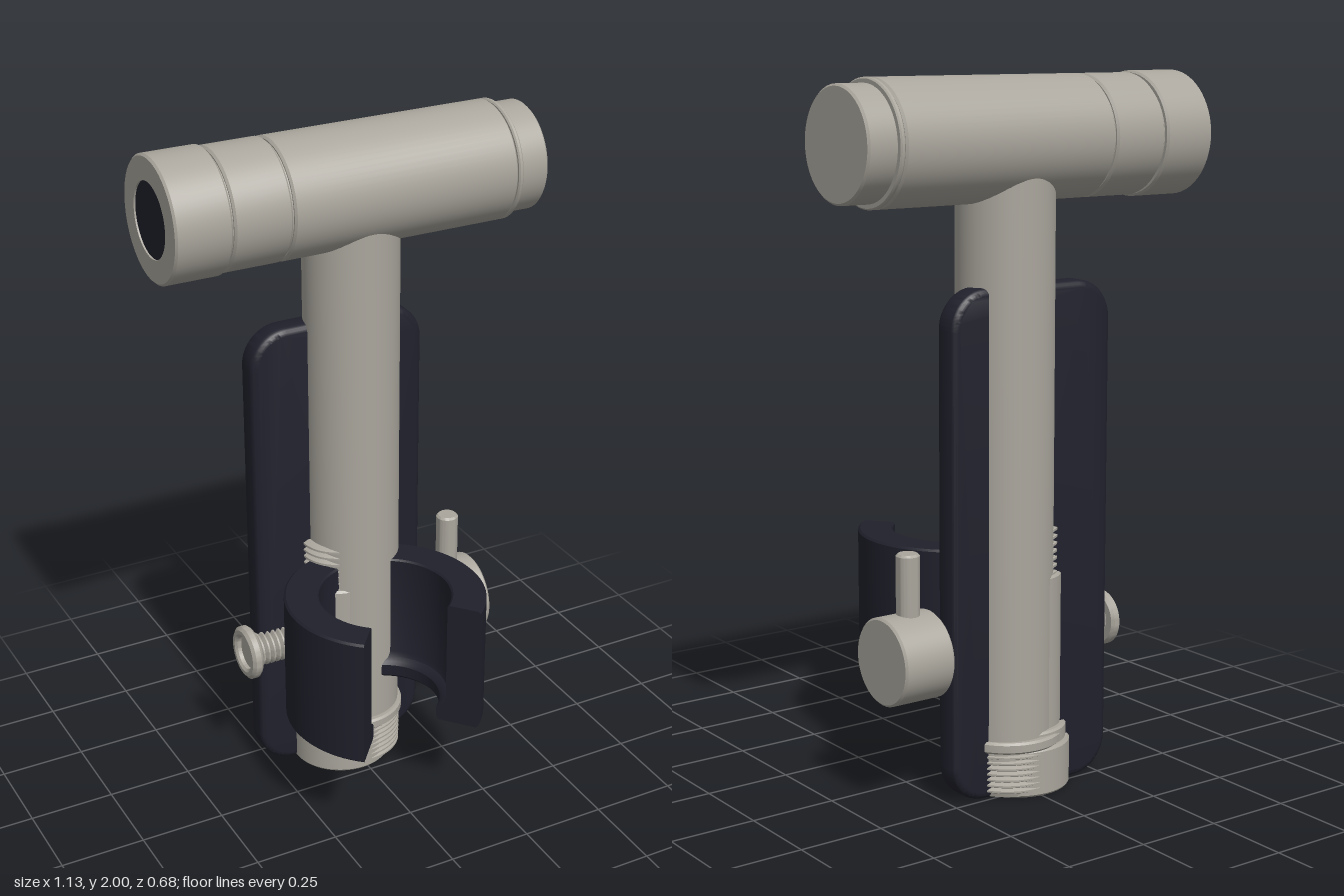
import * as THREE from 'three';
import { toCreasedNormals } from 'three/addons/utils/BufferGeometryUtils.js';

const AXIS_Z = -0.165;

export function createModel() {
  const model = new THREE.Group();
  model.name = 'handSprayerWithHolder';
  const metal = new THREE.MeshStandardMaterial({ color: 0xaaa69d });
  metal.name = 'brushedMetal';
  const dark = new THREE.MeshStandardMaterial({ color: 0x20202c, side: THREE.DoubleSide });
  dark.name = 'darkPlastic';

  function add(name, geometry, material, x = 0, y = 0, z = 0, parent = model) {
    const mesh = new THREE.Mesh(geometry, material);
    mesh.name = name;
    mesh.position.set(x, y, z);
    parent.add(mesh);
    return mesh;
  }
  // Lathe from [radius, height] pairs, keeping sharp edges
  function turned(profile, start = 0, length = Math.PI * 2, segments = 64) {
    const pts = profile.map(([r, h]) => new THREE.Vector2(r, h));
    return toCreasedNormals(new THREE.LatheGeometry(pts, segments, start, length), 0.5);
  }
  // Solid cylinder profile with small chamfers
  function rod(r, a, b, c = 0.006) {
    return [[0, a], [r - c, a], [r, a + c], [r, b - c], [r - c, b], [0, b]];
  }
  // Zigzag screw ridges between two heights
  function ridges(r, a, b, count, depth) {
    const out = [];
    const step = (b - a) / count;
    for (let i = 0; i < count; i++) {
      out.push([r - depth, a + i * step], [r, a + (i + 0.35) * step], [r, a + (i + 0.65) * step]);
    }
    out.push([r - depth, b]);
    return out;
  }

  // Spray head, lying along x
  const head = new THREE.Group();
  head.name = 'sprayHead';
  head.position.set(0, 1.825, AXIS_Z);
  head.rotation.z = -Math.PI / 2;
  model.add(head);
  const headParts = [
    ['middleCollar', rod(0.17, -0.397, -0.229)],
    ['headBody', rod(0.17, -0.224, 0.458)],
    ['headRing', rod(0.17, 0.46, 0.475, 0.004)],
    ['endCap', rod(0.155, 0.47, 0.563)],
    ['headCore', rod(0.16, -0.45, 0.465)],
  ];
  for (const [name, profile] of headParts) add(name, turned(profile), metal, 0, 0, 0, head);
  add('nozzleCollar', turned([[0.105, -0.54], [0.105, -0.565], [0.169, -0.565],
    [0.175, -0.559], [0.175, -0.409], [0.169, -0.403], [0, -0.403]]), metal, 0, 0, 0, head);
  add('nozzleFace', turned(rod(0.106, -0.56, -0.552, 0.001)), dark, 0, 0, 0, head);

  // Grip tube and its threaded foot
  add('gripTube', turned(rod(0.1375, 0.1, 1.78)), metal, 0.025, 0, AXIS_Z);
  add('footRing', turned(rod(0.157, 0.135, 0.168)), metal, 0.016, 0, AXIS_Z);
  add('threadedFoot', turned([[0, 0.07], [0.105, 0.07], [0.105, 0.004], [0.135, 0.004],
    ...ridges(0.15, 0.015, 0.13, 7, 0.012), [0, 0.135]]), metal, 0.015, 0, AXIS_Z);

  // Offset outlet tube, overlapping the grip on its right side
  add('outletNut', turned([[0, 0.05], [0.1, 0.05], [0.1, 0], [0.147, 0], [0.152, 0.006],
    [0.152, 0.13], [0.146, 0.138], [0, 0.138]]), metal, -0.018, 0, AXIS_Z);
  add('outletRing', turned(rod(0.138, 0.13, 0.18)), metal, -0.022, 0, AXIS_Z);
  add('outletTube', turned(rod(0.12, 0.17, 0.62)), metal, -0.025, 0, AXIS_Z);
  add('outletThread', turned([[0, 0.61], ...ridges(0.11, 0.61, 0.755, 7, 0.014), [0, 0.755]]),
    metal, -0.025, 0, AXIS_Z);

  // Wall plate with rounded corners
  const left = -0.265, right = 0.235, bottom = 0.02, top = 1.415, cr = 0.09;
  const plate = new THREE.Shape();
  plate.absarc(right - cr, bottom + cr, cr, -Math.PI / 2, 0);
  plate.absarc(right - cr, top - cr, cr, 0, Math.PI / 2);
  plate.absarc(left + cr, top - cr, cr, Math.PI / 2, Math.PI);
  plate.absarc(left + cr, bottom + cr, cr, Math.PI, Math.PI * 1.5);
  const plateGeometry = new THREE.ExtrudeGeometry(plate, {
    depth: 0.04, bevelThickness: 0.02, bevelSize: 0.02, bevelSegments: 4, curveSegments: 16,
  });
  add('wallPlate', toCreasedNormals(plateGeometry, 0.6), dark, 0, 0, -0.225);

  // C-shaped cradle with an inner lip at the bottom
  const cradle = new THREE.Group();
  cradle.name = 'cradle';
  cradle.position.set(-0.015, 0, 0.115);
  model.add(cradle);
  const section = [[0.168, 0.3], [0.284, 0.3], [0.29, 0.306], [0.29, 0.686], [0.284, 0.692],
    [0.195, 0.692], [0.19, 0.687], [0.19, 0.375], [0.183, 0.36], [0.168, 0.352],
    [0.161, 0.342], [0.161, 0.308], [0.168, 0.3]];
  const open = THREE.MathUtils.degToRad(40);
  add('cradleWall', turned(section, open, Math.PI * 2 - open * 2), dark, 0, 0, 0, cradle);
  const endShape = new THREE.Shape(section.slice(0, -1).map(([r, h]) => new THREE.Vector2(r, h)));
  for (const side of [-1, 1]) {
    const end = add('cradleEnd', new THREE.ShapeGeometry(endShape), dark, 0, 0, 0, cradle);
    end.rotation.y = side * open - Math.PI / 2;
  }

  // Shut-off valve across the plate, with threaded inlet on the right side
  const valve = new THREE.Group();
  valve.name = 'valve';
  valve.position.set(0, 0.43, -0.16);
  valve.rotation.z = -Math.PI / 2;
  model.add(valve);
  add('valveStem', turned(rod(0.075, 0, 0.3)), metal, 0, 0, 0, valve);
  add('valveKnob', turned(rod(0.123, 0.275, 0.435)), metal, 0, 0, 0, valve);
  add('inletThread', turned([[0, -0.32], ...ridges(0.05, -0.32, -0.2, 7, 0.01), [0.042, 0], [0, 0]]),
    metal, 0, 0, 0, valve);
  add('inletRing', turned([[0, -0.325], [0.05, -0.325], [0.05, -0.337], [0.058, -0.343],
    [0.07, -0.343], [0.08, -0.335], [0.08, -0.318], [0.073, -0.31], [0, -0.31]]),
    metal, 0, 0, 0, valve);
  add('valveLever', turned(rod(0.033, 0.43, 0.722)), metal, 0.347, 0, -0.16);

  return model;
}
